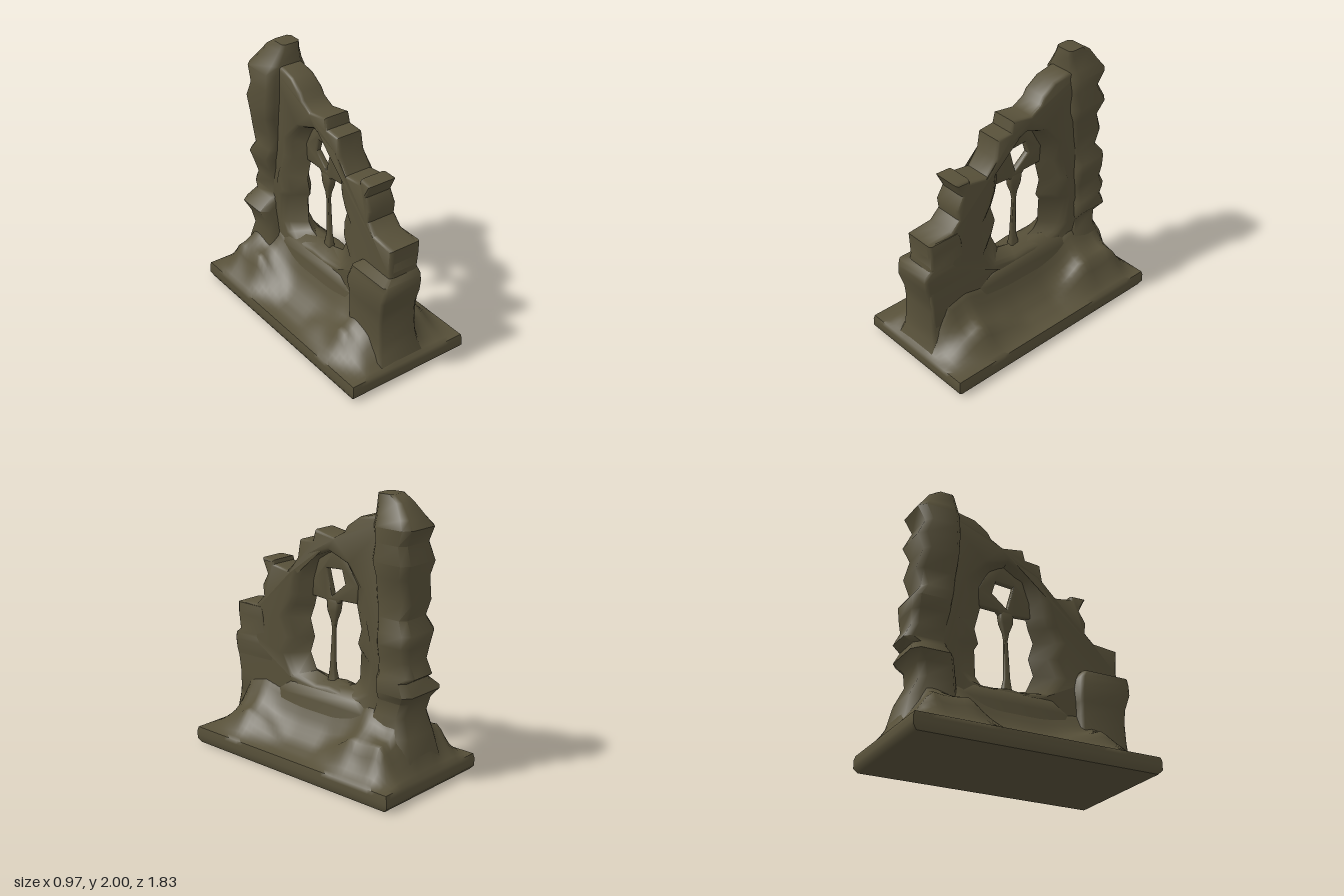
import * as THREE from 'three';
import { mergeVertices, toCreasedNormals } from 'three/addons/utils/BufferGeometryUtils.js';

const stone = new THREE.MeshStandardMaterial({ color: 0x575039 });
stone.name = 'mossy stone';

// Linear interpolation in a list of [key, value] pairs
function lerpTable(table, k) {
  if (k <= table[0][0]) return table[0][1];
  for (let i = 1; i < table.length; i++) {
    const [k0, v0] = table[i - 1], [k1, v1] = table[i];
    if (k <= k1) return v0 + (v1 - v0) * (k - k0) / (k1 - k0);
  }
  return table[table.length - 1][1];
}

function part(name, geometry, crease = 1.1) {
  const mesh = new THREE.Mesh(toCreasedNormals(geometry, crease), stone);
  mesh.name = name;
  return mesh;
}

// Chamfered rectangular rings [y, x0, x1, z0, z1] joined from bottom to top
function loft(rings, c = 0.15) {
  const corners = [[1, c], [1, 1 - c], [1 - c, 1], [c, 1], [0, 1 - c], [0, c], [c, 0], [1 - c, 0]];
  const n = corners.length, pos = [], idx = [];
  for (const [y, x0, x1, z0, z1] of rings)
    for (const [u, v] of corners) pos.push(x0 + (x1 - x0) * u, y, z0 + (z1 - z0) * v);
  for (let r = 0; r < rings.length - 1; r++)
    for (let i = 0; i < n; i++) {
      const a = r * n + i, b = r * n + (i + 1) % n;
      idx.push(a, a + n, b, b, a + n, b + n);
    }
  const top = (rings.length - 1) * n;
  for (let i = 1; i < n - 1; i++) idx.push(0, i, i + 1, top, top + i + 1, top + i);
  const g = new THREE.BufferGeometry();
  g.setAttribute('position', new THREE.Float32BufferAttribute(pos, 3));
  g.setIndex(idx);
  return g;
}

// Outline in (z, y), extruded across x and centred on x = 0
const points = (list) => list.map(([z, y]) => new THREE.Vector2(z, y));
function slab(outline, hole, width, bevelThickness, bevelSize) {
  const shape = new THREE.Shape(points(outline));
  shape.holes.push(new THREE.Path(points(hole)));
  const g = new THREE.ExtrudeGeometry(shape, {
    depth: width - 2 * bevelThickness, steps: 2, bevelEnabled: true, bevelThickness,
    bevelSize, bevelOffset: -bevelSize, bevelSegments: 2,
  });
  g.translate(0, 0, bevelThickness - width / 2);
  g.rotateY(-Math.PI / 2);
  return g;
}

// Base plate whose top rises into rubble heaps against the wall
function groundGeometry() {
  const heap = [[-0.9, 0], [-0.82, 0.08], [-0.72, 0.23], [-0.45, 0.23], [-0.3, 0.12], [-0.12, 0.01],
    [0.15, 0.02], [0.35, 0.1], [0.55, 0.18], [0.75, 0.07], [0.9, 0]];
  const spread = [[0.2, 1], [0.31, 0.95], [0.37, 0.45], [0.44, 0.1], [0.47, 0]];
  const skirt = [[0.1, 0.36], [0.15, 0.25], [0.2, 0.15], [0.3, 0.05], [0.42, 0]];
  const fade = [[0.7, 1], [0.88, 0]];
  let g = new THREE.BoxGeometry(0.97, 0.12, 1.83, 28, 4, 44);
  g.deleteAttribute('normal');
  g.deleteAttribute('uv');
  g = mergeVertices(g);
  const p = g.attributes.position;
  for (let i = 0; i < p.count; i++) {
    let x = p.getX(i), y = p.getY(i) + 0.06, z = p.getZ(i);
    const edge = Math.abs(x) > 0.48 || Math.abs(z) > 0.91;
    if (y > 0.119 && !edge) {
      const lumps = 1 + 0.08 * Math.sin(z * 19 + x * 8) * Math.cos(x * 17);
      y += Math.hypot(lerpTable(heap, z) * lerpTable(spread, Math.abs(x)) * lumps,
        lerpTable(skirt, Math.abs(x)) * lerpTable(fade, Math.abs(z)));
    } else if (edge && (y < 0.01 || y > 0.119)) {
      const s = y < 0.01 ? 0.97 : 0.99;
      x *= s; z *= s;
    }
    p.setXYZ(i, x, y, z);
  }
  return g;
}

// Broken wall with a window whose sides splay outwards from a thin middle edge
function wallGeometry() {
  const outline = [[0.82, 0.08], [0.83, 0.5], [0.86, 0.7], [0.82, 0.85], [0.83, 1.03], [0.64, 1.05],
    [0.57, 1.12], [0.58, 1.2], [0.53, 1.29], [0.585, 1.4], [0.465, 1.4], [0.46, 1.37], [0.31, 1.35],
    [0.23, 1.46], [0.21, 1.59], [0.09, 1.6], [0.07, 1.68], [-0.1, 1.65], [-0.19, 1.7], [-0.22, 1.75],
    [-0.32, 1.82], [-0.45, 1.85], [-0.6, 1.85], [-0.7, 1.7], [-0.7, 0.08]];
  const opening = [[0.14, 0.62], [0.02, 0.59], [-0.05, 0.6], [-0.16, 0.575], [-0.22, 0.6], [-0.26, 0.65],
    [-0.27, 0.85], [-0.24, 0.9], [-0.27, 1.01], [-0.225, 1.19], [-0.23, 1.32], [-0.15, 1.47],
    [-0.05, 1.53], [0.08, 1.45], [0.13, 1.3], [0.14, 1.18], [0.16, 1.1], [0.2, 1.0], [0.16, 0.87], [0.2, 0.75]];
  const thickness = [[0.6, 1.12], [1.2, 1.06], [1.9, 0.85]];
  const g = slab(outline, opening, 0.22, 0.03, 0.015);
  const p = g.attributes.position;
  for (let i = 0; i < p.count; i++) {
    const x = p.getX(i), y = p.getY(i), z = p.getZ(i);
    const dz = z + 0.04, dy = y - 1;
    const inWindow = (dz / 0.29) ** 4 + (dy / 0.55) ** 4 < 1;
    const splay = inWindow ? Math.abs(x) / 0.11 : 0;
    p.setXYZ(i, x * lerpTable(thickness, y) + 0.005 * Math.sin(z * 6),
      y + dy * splay * (dy > 0 ? 0.04 : 0.1), z + dz * splay * 0.75);
  }
  return g;
}

export function createModel() {
  const model = new THREE.Group();
  model.name = 'ruinedWindowWall';
  model.add(part('rubbleBase', groundGeometry()));
  model.add(part('wall', wallGeometry(), 0.8));

  // Thick plinth under the window with a sloping sill
  model.add(part('windowSill', loft([[0.08, -0.22, 0.22, -0.6, 0.6], [0.3, -0.16, 0.16, -0.58, 0.55],
    [0.45, -0.14, 0.14, -0.52, 0.46], [0.53, -0.13, 0.13, -0.42, 0.36], [0.575, -0.05, 0.05, -0.3, 0.24]], 0.12)));

  // Tall weathered pier at the back
  model.add(part('backPier', loft([
    [0.08, -0.26, 0.24, -0.87, -0.42], [0.37, -0.2, 0.18, -0.8, -0.45], [0.5, -0.19, 0.14, -0.74, -0.47],
    [0.6, -0.21, 0.12, -0.76, -0.49], [0.67, -0.24, 0.17, -0.82, -0.51], [0.76, -0.14, 0.16, -0.77, -0.51],
    [0.8, -0.12, 0.14, -0.83, -0.51], [0.9, -0.12, 0.14, -0.78, -0.51], [1.0, -0.15, 0.16, -0.79, -0.51],
    [1.09, -0.18, 0.16, -0.8, -0.51], [1.18, -0.16, 0.12, -0.735, -0.49], [1.3, -0.16, 0.13, -0.78, -0.48],
    [1.45, -0.2, 0.13, -0.74, -0.47], [1.56, -0.2, 0.165, -0.785, -0.46], [1.68, -0.19, 0.13, -0.73, -0.46],
    [1.79, -0.18, 0.15, -0.785, -0.46], [1.85, -0.14, 0.12, -0.74, -0.46], [1.95, -0.08, 0.09, -0.67, -0.46],
    [2.0, -0.06, 0.085, -0.6, -0.465]])));

  // Low stepped pier at the front, flaring at the foot
  model.add(part('frontPier', loft([
    [0.08, -0.25, 0.18, 0.43, 0.9], [0.2, -0.21, 0.14, 0.46, 0.85], [0.3, -0.2, 0.12, 0.47, 0.84],
    [0.45, -0.2, 0.11, 0.47, 0.83], [0.55, -0.2, 0.11, 0.47, 0.84], [0.66, -0.22, 0.12, 0.46, 0.87],
    [0.74, -0.2, 0.12, 0.48, 0.88], [0.785, -0.2, 0.12, 0.5, 0.87], [0.82, -0.11, 0.12, 0.54, 0.82],
    [0.95, -0.1, 0.13, 0.56, 0.825], [1.03, -0.04, 0.12, 0.58, 0.83]], 0.06)));

  // Window tracery: pierced head and slender mullion
  const head = [[0.17, 1.18], [0.04, 1.17], [0.02, 1.15], [-0.07, 1.15], [-0.1, 1.185], [-0.25, 1.19],
    [-0.26, 1.32], [-0.17, 1.5], [-0.05, 1.56], [0.1, 1.48], [0.16, 1.3]];
  const eye = [[0.03, 1.4], [-0.11, 1.41], [-0.14, 1.31], [-0.02, 1.21]];
  model.add(part('traceryHead', slab(head, eye, 0.05, 0.012, 0.012)));
  model.add(part('mullion', loft([[0.53, -0.04, 0.04, -0.06, 0.03], [0.6, -0.025, 0.025, -0.05, 0.02],
    [0.68, -0.016, 0.016, -0.035, 0.01], [0.97, -0.014, 0.014, -0.035, -0.01], [1.03, -0.018, 0.018, -0.045, 0],
    [1.1, -0.03, 0.03, -0.07, 0.025], [1.16, -0.03, 0.03, -0.08, 0.03], [1.2, -0.02, 0.02, -0.06, 0.015]])));

  return model;
}
